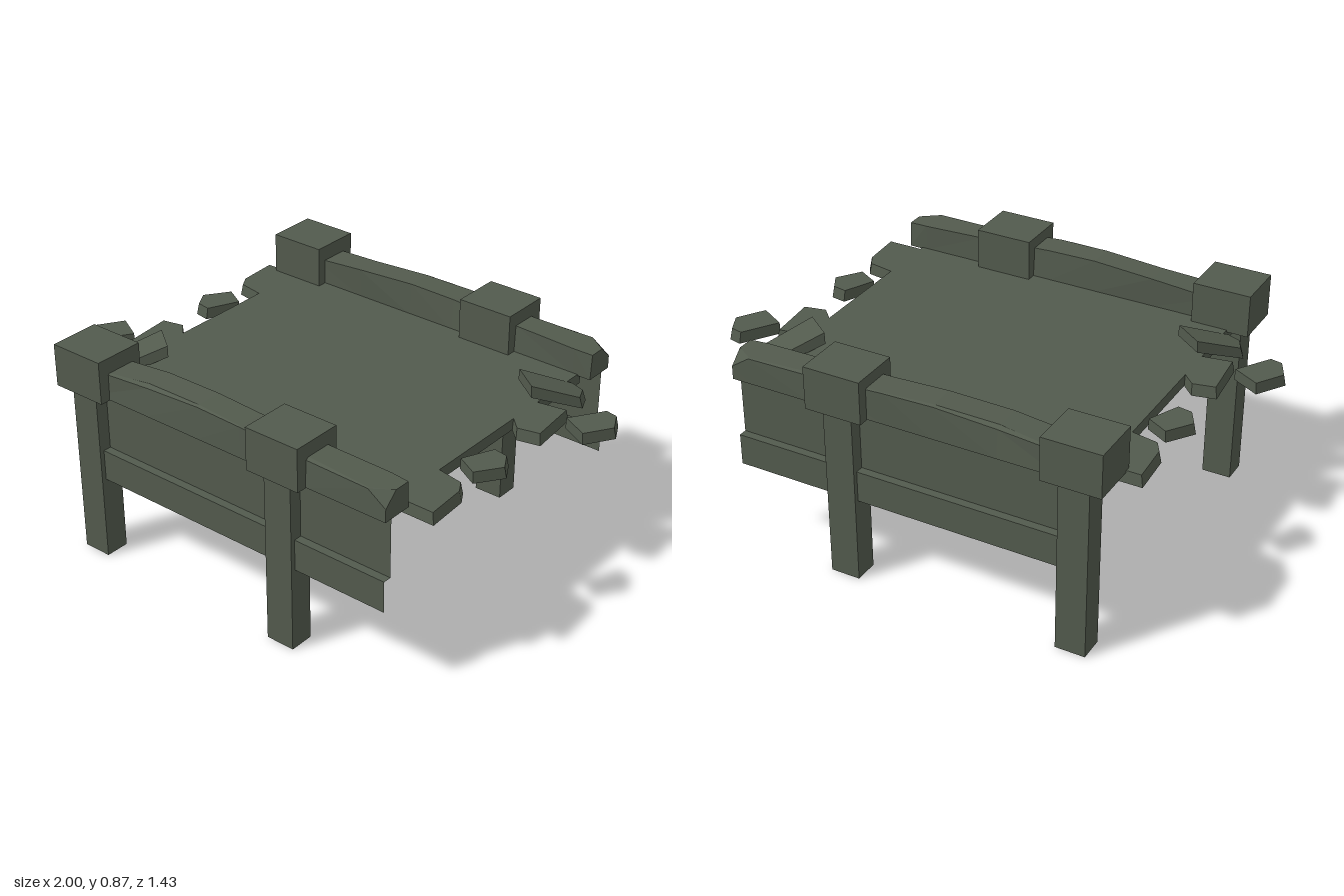
import * as THREE from 'three';

const stone = new THREE.MeshStandardMaterial({ color: 0x525a4d, side: THREE.DoubleSide });
stone.name = 'mossy stone';
stone.flatShading = true;

function add(parent, name, geometry, x = 0, y = 0, z = 0) {
  const mesh = new THREE.Mesh(geometry, stone);
  mesh.name = name;
  mesh.position.set(x, y, z);
  parent.add(mesh);
  return mesh;
}

// Flat-shaded geometry from points and triangles
function flatGeometry(pos, idx) {
  const g = new THREE.BufferGeometry();
  g.setAttribute('position', new THREE.Float32BufferAttribute(pos, 3));
  g.setIndex(idx);
  const flat = g.toNonIndexed();
  flat.computeVertexNormals();
  return flat;
}

// Box without its bottom face
function openBox(w, h, d) {
  const g = new THREE.BoxGeometry(w, h, d);
  const index = Array.from(g.index.array);
  index.splice(18, 6);
  g.setIndex(index);
  g.clearGroups();
  return g;
}

// Worn rail, lofted along x and open below; each station is [x, top y, inner top z, outer top z, corner chip]
function railGeometry(side) {
  const stations = [
    [-0.6, 0.80, 0.55, 0.67, 0.002],
    [-0.35, 0.822, 0.545, 0.66, 0.012],
    [-0.1, 0.832, 0.555, 0.665, 0.006],
    [0.1, 0.826, 0.56, 0.67, 0.002],
    [0.4, 0.812, 0.555, 0.665, 0.008],
    [0.66, 0.805, 0.55, 0.67, 0.002],
    [0.735, 0.802, 0.555, 0.67, 0.05],
  ];
  const pos = [], idx = [], n = 5;
  for (const [x, top, zi, zo, chip] of stations) {
    const ring = [[0.55, 0.7], [0.675, 0.7], [zo + 0.004, top - chip], [zo - chip, top], [zi, top]];
    for (const [z, y] of ring) pos.push(x, y, z * side);
  }
  const tri = (a, b, c) => (side > 0 ? idx.push(a, b, c) : idx.push(a, c, b));
  for (let i = 0; i < stations.length - 1; i++) {
    for (let j = 1; j < n; j++) {
      const a = i * n + j, b = i * n + (j + 1) % n;
      tri(a, a + n, b + n);
      tri(a, b + n, b);
    }
  }
  const last = (stations.length - 1) * n;
  for (let j = 1; j < n - 1; j++) {
    tri(0, j, j + 1);
    tri(last, last + j + 1, last + j);
  }
  return flatGeometry(pos, idx);
}

// Thin side wall with a step: the lower band stands further out
function wallGeometry(side) {
  const profile = [[0.7, 0.637], [0.46, 0.637], [0.46, 0.67], [0.335, 0.67]];
  const g = new THREE.PlaneGeometry(1.38, 1, 1, 3);
  const p = g.attributes.position;
  for (let i = 0; i < p.count; i++) {
    const [y, z] = profile[Math.floor(i / 2)];
    p.setXYZ(i, p.getX(i) * side + 0.04, y, z * side);
  }
  const flat = g.toNonIndexed();
  flat.computeVertexNormals();
  return flat;
}

// Broken slab, open below: it tapers upward away from the first edge and may slope down from it
function slabGeometry(outline, slope) {
  const [[x0, z0], [x1, z1]] = outline;
  const mx = (x0 + x1) / 2, mz = (z0 + z1) / 2;
  const length = Math.hypot(x1 - x0, z1 - z0);
  const n = outline.length, pos = [], idx = [];
  outline.forEach(([x, z], i) => {
    const away = ((z0 - z1) * (x - mx) + (x1 - x0) * (z - mz)) / length;
    const lift = slope ? 0.07 - slope * away : 0;
    pos.push(x, 0.66 + lift, z);
    pos.push(mx + (x - mx) * 0.94, 0.705 + lift, mz + (z - mz) * 0.94);
    const a = 2 * i, b = 2 * ((i + 1) % n);
    idx.push(b, a, a + 1, b, a + 1, b + 1);
    if (i > 0 && i < n - 1) idx.push(1, b + 1, a + 1);
  });
  return flatGeometry(pos, idx);
}

const slabs = [
  ['edgeSlab', [[-0.68, -0.54], [-0.68, -0.30], [-0.79, -0.32], [-0.82, -0.37], [-0.83, -0.54]]],
  ['edgeSlab', [[-0.68, 0.13], [-0.68, 0.29], [-0.80, 0.31], [-0.82, 0.10], [-0.73, 0.08]]],
  ['looseSlab', [[-0.78, -0.25], [-0.69, -0.20], [-0.75, -0.07], [-0.81, -0.08], [-0.85, -0.15]]],
  ['looseSlab', [[-0.93, 0.20], [-0.82, 0.26], [-0.91, 0.40], [-0.96, 0.39], [-1.0, 0.31]]],
  ['tiltedSlab', [[-0.67, 0.26], [-0.555, 0.345], [-0.70, 0.51], [-0.75, 0.505], [-0.79, 0.42]], 0.36],
];

export function createModel() {
  const model = new THREE.Group();
  model.name = 'brokenBridge';

  add(model, 'deck', openBox(1.36, 0.045, 1.14), 0, 0.6825, 0);

  // Front and back sides: posts, caps, rail and wall
  for (const side of [1, -1]) {
    const half = new THREE.Group();
    half.name = side > 0 ? 'frontSide' : 'backSide';
    model.add(half);
    for (const x of [-0.65, 0.28]) {
      add(half, 'post', openBox(0.118, 0.7, 0.098), x, 0.35, 0.64 * side);
      add(half, 'postCap', new THREE.BoxGeometry(0.23, 0.17, 0.204), x, 0.782, 0.613 * side);
    }
    add(half, 'rail', railGeometry(side));
    add(half, 'wall', wallGeometry(side));
  }

  // Broken slabs at both ends, the second set turned half round
  for (const turn of [0, Math.PI]) {
    const rubble = new THREE.Group();
    rubble.name = turn ? 'leftRubble' : 'rightRubble';
    rubble.rotation.y = turn;
    for (const [name, outline, slope] of slabs) add(rubble, name, slabGeometry(outline, slope));
    model.add(rubble);
  }
  return model;
}
